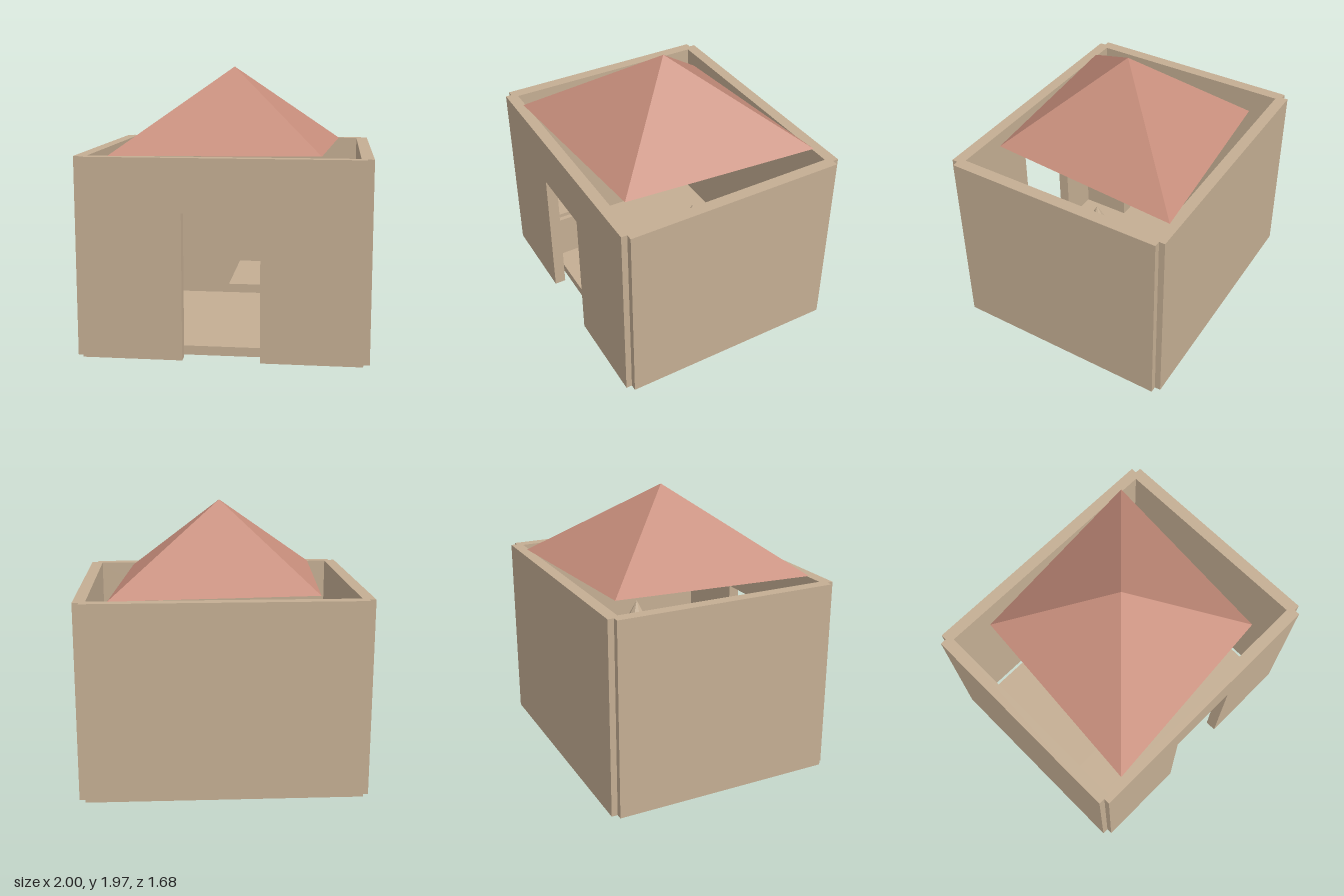
import * as THREE from 'three';

const WALL_HEIGHT = 1.385;
const FLOOR_TOP = 0.065;

export function createModel() {
  const model = new THREE.Group();
  model.name = 'house';

  const plaster = new THREE.MeshStandardMaterial({ color: 0xc4ae93 });
  plaster.name = 'tan plaster';
  const tile = new THREE.MeshStandardMaterial({ color: 0xc68d7b });
  tile.name = 'terracotta';
  plaster.flatShading = tile.flatShading = true;

  const add = (name, geometry, material, x = 0, y = 0, z = 0, parent = model) => {
    const mesh = new THREE.Mesh(geometry, material);
    mesh.name = name;
    mesh.position.set(x, y, z);
    parent.add(mesh);
    return mesh;
  };
  // Box given by its extents
  const box = (name, [x0, x1], [y0, y1], [z0, z1], parent = model) =>
    add(name, new THREE.BoxGeometry(x1 - x0, y1 - y0, z1 - z0), plaster,
      (x0 + x1) / 2, (y0 + y1) / 2, (z0 + z1) / 2, parent);

  // Floor slab, set free of the walls
  box('floor', [-0.875, 0.875], [0, FLOOR_TOP], [-0.715, 0.715]);

  // Side and back walls
  box('leftWall', [0.915, 1], [0, WALL_HEIGHT], [-0.797, 0.797]);
  box('rightWall', [-1, -0.915], [0, WALL_HEIGHT], [-0.797, 0.797]);
  box('backWall', [-0.955, 0.955], [0, WALL_HEIGHT], [-0.84, -0.757]);

  // Front wall with a doorway open to the ground
  const outline = new THREE.Shape([
    [-0.955, 0], [-0.265, 0], [-0.265, 1.017], [0.265, 1.017],
    [0.265, 0], [0.955, 0], [0.955, WALL_HEIGHT], [-0.955, WALL_HEIGHT],
  ].map(([x, y]) => new THREE.Vector2(x, y)));
  const frontWall = new THREE.ExtrudeGeometry(outline, { depth: 0.083, bevelEnabled: false });
  add('frontWall', frontWall, plaster, 0, 0, 0.757);

  // Diamond-based pyramid roof
  const roof = new THREE.ConeGeometry(1, 0.585, 4);
  roof.scale(1.092, 1, 0.93);
  roof.rotateY(Math.PI / 4);
  add('roof', roof, tile, 0, WALL_HEIGHT + 0.2925, 0);

  // Pedestal table
  const table = new THREE.Group();
  table.name = 'table';
  model.add(table);
  box('tableTop', [0, 0.86], [0.38, 0.423], [-0.37, 0.37], table);
  add('tableLeg', new THREE.CylinderGeometry(0.06, 0.06, 0.315, 8), plaster, 0.43, 0.2225, 0, table);

  // Lamp on the table
  const lamp = new THREE.Group();
  lamp.name = 'lamp';
  model.add(lamp);
  add('lampStem', new THREE.CylinderGeometry(0.03, 0.03, 0.16, 8), plaster, 0.43, 0.503, 0, lamp);
  add('lampShade', new THREE.ConeGeometry(0.205, 0.38, 8), plaster, 0.43, 0.767, 0, lamp);

  // Crate with a lid in the front corner
  const crate = new THREE.Group();
  crate.name = 'crate';
  model.add(crate);
  box('crateBody', [-0.875, -0.505], [FLOOR_TOP, 0.41], [0.343, 0.713], crate);
  box('crateLid', [-0.84, -0.54], [0.41, 0.44], [0.378, 0.678], crate);

  return model;
}
